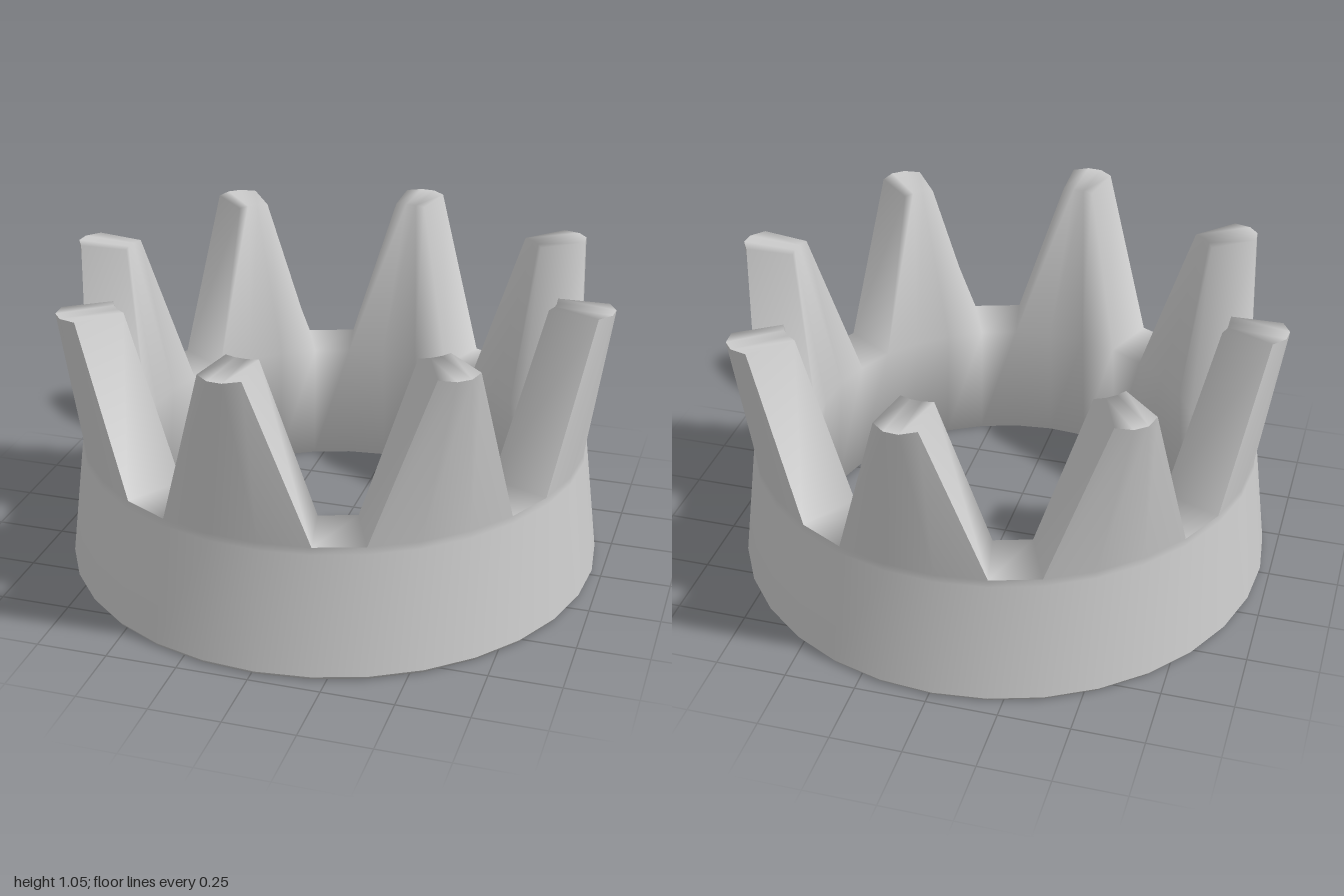
import * as THREE from 'three';
import { mergeVertices } from 'three/addons/utils/BufferGeometryUtils.js';

const PRONGS = 8, COLUMNS = 32;            // each prong spans 3 columns, each gap 1
const STEP = (Math.PI * 2) / COLUMNS;
const TURN = THREE.MathUtils.degToRad(-4.9);
const RIM = 0.465, TIP = 1.055;

// Point of the round band at a column
function ringPoint(i, r, y) {
  const p = Math.floor(i / 4), k = i % 4;
  const a = TURN + p * STEP * 4 + (k - 1.5) * STEP;
  return new THREE.Vector3(r * Math.sin(a), y, r * Math.cos(a));
}

// Point of a prong tip: the band's arc squeezed sideways and leaned outward
function tipPoint(i, rBase, rMid, rEdge) {
  const p = Math.floor(i / 4), k = i % 4;
  const c = TURN + p * STEP * 4;
  const side = rBase * Math.sin((k - 1.5) * STEP) * 0.286;
  const out = k === 0 || k === 3 ? rEdge : rMid;
  return new THREE.Vector3(
    side * Math.cos(c) + out * Math.sin(c), TIP,
    -side * Math.sin(c) + out * Math.cos(c));
}

// All the levels of one column
function column(index) {
  const i = index % COLUMNS;
  return {
    under: ringPoint(i, 0.957, 0),
    foot: ringPoint(i, 0.965, 0.012),
    band: ringPoint(i, 0.912, 0.44),
    rim: ringPoint(i, 0.908, RIM),
    tip: tipPoint(i, 0.908, 1.0, 0.965),
    inFoot: ringPoint(i, 0.727, 0),
    inRim: ringPoint(i, 0.69, RIM),
    inTip: tipPoint(i, 0.69, 0.8, 0.79),
  };
}

// Smooth-shaded mesh from a list of four-cornered faces
function skin(name, quads, material) {
  const pos = [];
  for (const [a, b, c, d] of quads)
    for (const v of [a, b, c, a, c, d]) pos.push(v.x, v.y, v.z);
  let g = new THREE.BufferGeometry();
  g.setAttribute('position', new THREE.Float32BufferAttribute(pos, 3));
  g = mergeVertices(g, 1e-4);
  g.computeVertexNormals();
  const mesh = new THREE.Mesh(g, material);
  mesh.name = name;
  return mesh;
}

export function createModel() {
  const material = new THREE.MeshStandardMaterial({ color: 0xcccccc });
  const outer = [], inner = [];

  for (let i = 0; i < COLUMNS; i++) {
    const a = column(i), b = column(i + 1), k = i % 4;

    // Band: outside, bottom and inside
    outer.push([a.foot, b.foot, b.band, a.band], [a.band, b.band, b.rim, a.rim]);
    inner.push(
      [a.under, b.under, b.foot, a.foot],
      [a.inFoot, b.inFoot, b.under, a.under],
      [b.inFoot, a.inFoot, a.inRim, b.inRim]);

    if (k === 3) {
      // Flat ledge between prongs
      inner.push([a.rim, b.rim, b.inRim, a.inRim]);
    } else {
      // Prong: outer face, inner face and top
      outer.push([a.rim, b.rim, b.tip, a.tip]);
      inner.push(
        [b.inRim, a.inRim, a.inTip, b.inTip],
        [a.tip, b.tip, b.inTip, a.inTip]);
    }
    // Prong flanks
    if (k === 0) inner.push([a.inRim, a.rim, a.tip, a.inTip]);
    if (k === 2) inner.push([b.rim, b.inRim, b.inTip, b.tip]);
  }

  const crown = new THREE.Group();
  crown.name = 'crown';
  crown.add(skin('outerWall', outer, material));
  crown.add(skin('innerWallAndProngSides', inner, material));
  return crown;
}
